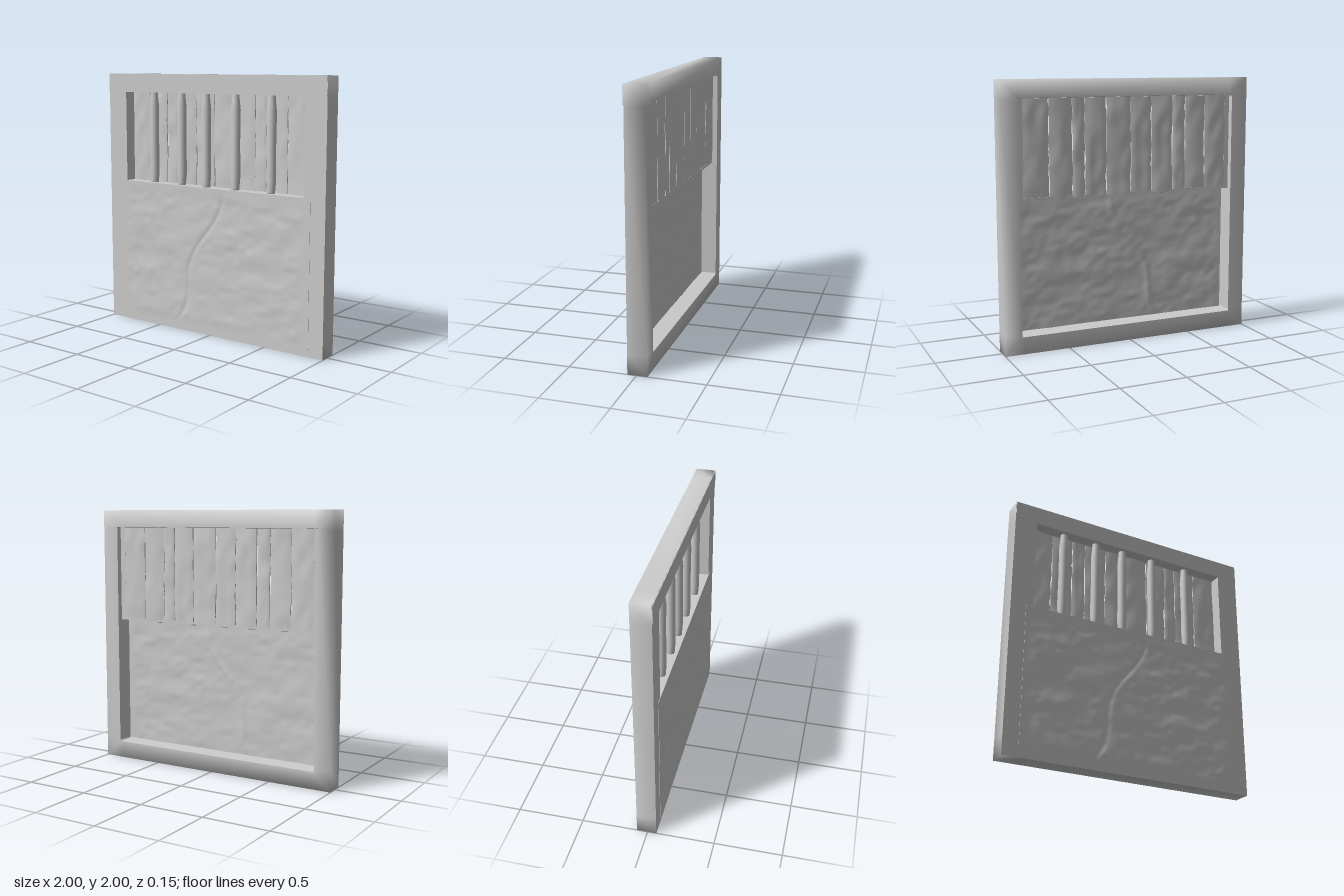
import * as THREE from 'three';

const mat = new THREE.MeshStandardMaterial({ color: 0xcccccc, side: THREE.DoubleSide });

// Smooth value noise, seeded by position
const hash = (i, j) => {
  const s = Math.sin(i * 127.1 + j * 311.7) * 43758.5453;
  return s - Math.floor(s);
};
function noise(x, y) {
  const i = Math.floor(x), j = Math.floor(y);
  const ease = (t) => t * t * (3 - 2 * t);
  const u = ease(x - i), v = ease(y - j);
  const a = THREE.MathUtils.lerp(hash(i, j), hash(i + 1, j), u);
  const b = THREE.MathUtils.lerp(hash(i, j + 1), hash(i + 1, j + 1), u);
  return THREE.MathUtils.lerp(a, b, v) - 0.5;
}

function add(parent, name, geometry, x = 0, y = 0, z = 0) {
  const mesh = new THREE.Mesh(geometry, mat);
  mesh.name = name;
  mesh.position.set(x, y, z);
  parent.add(mesh);
  return mesh;
}

// Box given by its limits
function block(parent, name, x0, x1, y0, y1, z0, z1) {
  return add(parent, name, new THREE.BoxGeometry(x1 - x0, y1 - y0, z1 - z0),
    (x0 + x1) / 2, (y0 + y1) / 2, (z0 + z1) / 2);
}

// Move each vertex of a geometry by a rule
function shapeBy(geometry, rule) {
  const p = geometry.attributes.position, v = new THREE.Vector3();
  for (let i = 0; i < p.count; i++) {
    rule(v.fromBufferAttribute(p, i));
    p.setXYZ(i, v.x, v.y, v.z);
  }
  geometry.computeVertexNormals();
  return geometry;
}

// Mitred border: a section of [inset, z] points swept round the square
function borderGeometry() {
  const strips = [
    [[0.14, 0.066], [0, 0.066]],
    [[0, 0.066], [0, -0.08], [0.13, -0.08]],
    [[0.13, -0.08], [0.14, 0.066]],
  ];
  const corners = [[-1, 0], [1, 0], [1, 2], [-1, 2]];
  const dirs = [[1, 0], [0, 1], [-1, 0], [0, -1]];
  const stations = [];
  corners.forEach(([x, y], k) => {
    const d = dirs[k], e = dirs[(k + 3) % 4];
    stations.push([x - e[0] * 0.15, y - e[1] * 0.15, -e[1], e[0]]);
    stations.push([x, y, d[0] - e[0], d[1] - e[1]]);
    stations.push([x + d[0] * 0.15, y + d[1] * 0.15, -d[1], d[0]]);
  });
  const pos = [], index = [], n = stations.length;
  for (const strip of strips) {
    const base = pos.length / 3, m = strip.length;
    for (const [x, y, ix, iy] of stations)
      for (const [inset, z] of strip) pos.push(x + ix * inset, y + iy * inset, z);
    for (let s = 0; s < n; s++)
      for (let k = 0; k < m - 1; k++) {
        const a = base + s * m + k, b = base + ((s + 1) % n) * m + k;
        index.push(a, a + 1, b, b, a + 1, b + 1);
      }
  }
  const g = new THREE.BufferGeometry();
  g.setAttribute('position', new THREE.Float32BufferAttribute(pos, 3));
  g.setIndex(index);
  g.computeVertexNormals();
  return g;
}

// Weathered lower panel with a worn diagonal crack
function lowerPanelGeometry() {
  const g = new THREE.BoxGeometry(1.76, 1.1, 0.022, 110, 70, 1);
  return shapeBy(g, (v) => {
    const y = v.y + 0.6;
    const fade = THREE.MathUtils.smoothstep(0.86 - Math.abs(v.x), 0, 0.1)
      * THREE.MathUtils.smoothstep(y, 0.06, 0.14) * THREE.MathUtils.smoothstep(1.14 - y, 0, 0.12);
    const rough = noise(v.x * 5 + 9, y * 9) * 0.008 + noise(v.x * 16, y * 22 + 5) * 0.004;
    const line = -0.37 + 0.42 * y + 0.05 * Math.sin(y * 8);
    const crack = Math.exp(-(((v.x - line) / 0.02) ** 2)) * 0.006;
    v.z += (rough - crack) * fade;
  });
}

export function createModel() {
  const model = new THREE.Group();
  model.name = 'barredPanel';

  // Outer frame with its header strip
  add(model, 'frame', borderGeometry());
  block(model, 'header', -0.998, 0.998, 1.863, 1.998, 0.04, 0.071);

  // Lower panel and the stiles beside the window
  add(model, 'lowerPanel', lowerPanelGeometry(), 0, 0.6, 0.058);
  for (const s of [-1, 1]) {
    const a = s * 0.825, b = s * 0.885;
    block(model, 'stile', Math.min(a, b), Math.max(a, b), 1.13, 1.87, -0.04, 0.066);
  }

  // Window lining
  block(model, 'sill', -0.84, 0.84, 1.13, 1.15, -0.045, 0.068);
  block(model, 'lintel', -0.88, 0.88, 1.857, 1.88, -0.03, 0.068);

  // Uneven upright planks behind the bars
  const planks = new THREE.Group();
  planks.name = 'planks';
  model.add(planks);
  const seams = [-0.835, -0.65, -0.48, -0.37, -0.19, -0.02, 0.18, 0.35, 0.45, 0.63, 0.83];
  for (let i = 0; i < seams.length - 1; i++) {
    const w = seams[i + 1] - seams[i] - 0.004;
    const g = shapeBy(new THREE.BoxGeometry(w, 0.73, 0.022, 8, 28, 1), (v) => {
      const t = Math.abs(v.x) / (w / 2);
      v.x += t * noise(i * 7 + Math.sign(v.x) * 3, v.y * 14) * 0.008;
      v.z += noise(v.x * 14 + i * 5, v.y * 8) * 0.01;
      v.z -= Math.sign(v.z) * t ** 4 * 0.006;
    });
    add(planks, 'plank', g, (seams[i] + seams[i + 1]) / 2, 1.5, -0.035);
  }

  // Round bars, a little thinner at the ends, passing through the sill
  const profile = [[0, 0], [0.027, 0], [0.03, 0.05], [0.036, 0.12], [0.034, 0.4],
    [0.037, 0.62], [0.029, 0.7], [0.027, 0.75]].map(([r, y]) => new THREE.Vector2(r, y));
  for (const x of [-0.575, -0.3, -0.065, 0.205, 0.52])
    add(model, 'bar', new THREE.LatheGeometry(profile, 20), x, 1.12, 0.015);

  return model;
}
